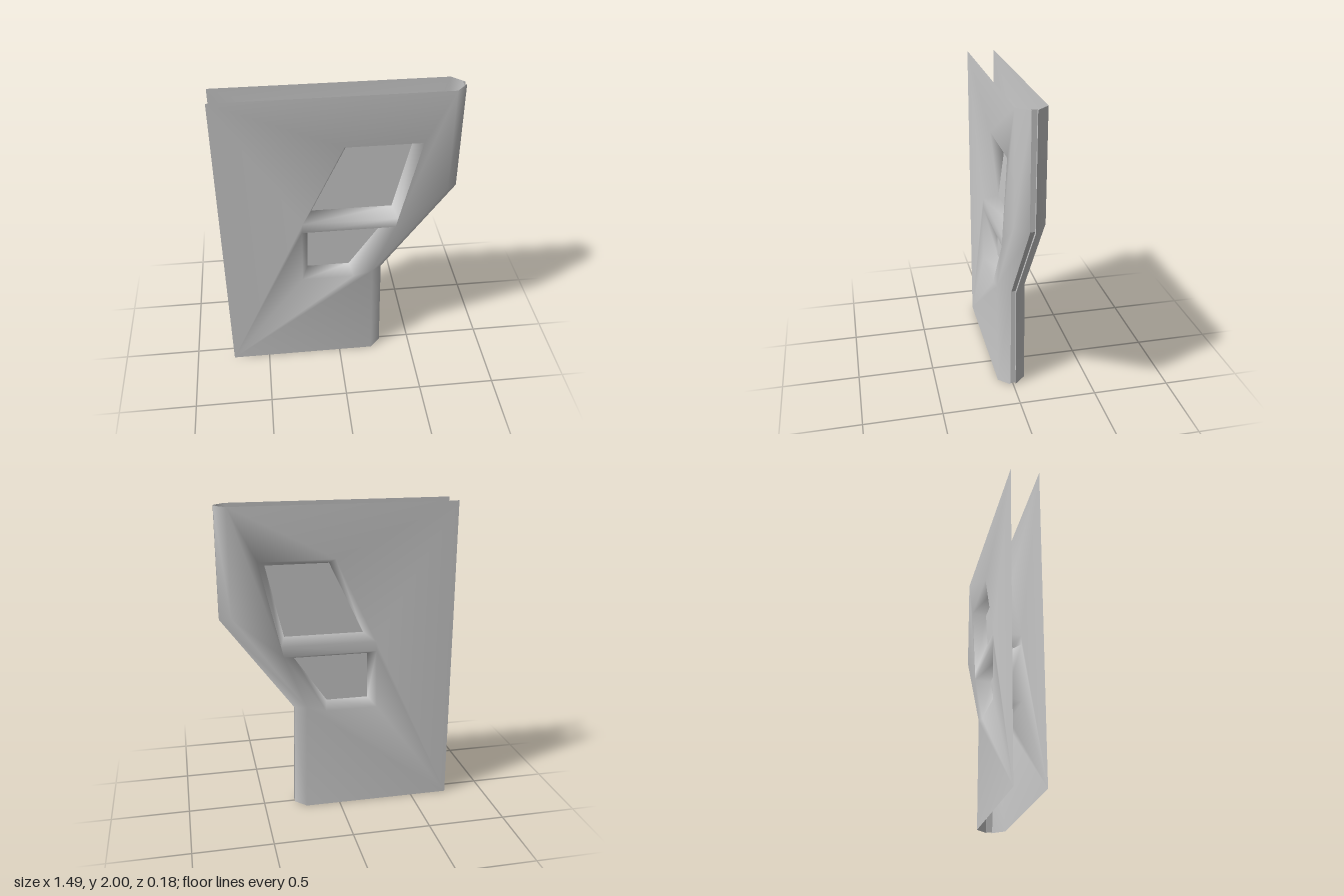
import * as THREE from 'three';

const FACE_Z = 0.09;   // outer skins
const LIP_Z = 0.017;   // half width of the edge groove
const BEVEL = 0.04;    // width of the window recess slopes

// Right-hand edge of the panel, bottom to top, and its mitred inward direction
const EDGE = [[0.295, 0], [0.285, 0.69], [0.74, 1.31], [0.74, 2]];
const MITRE = [[1, 0], [1, -0.32], [1, -0.32], [1, 0]];
const edgeInset = d => EDGE.map(([x, y], i) => [x - MITRE[i][0] * d, y - MITRE[i][1] * d]);

// Window panes, counter-clockwise
const WINDOWS = {
  upper: [[-0.17, 1.17], [0.34, 1.17], [0.45, 1.63], [0.05, 1.63]],
  lower: [[-0.205, 0.72], [0.07, 0.72], [0.28, 1.025], [-0.2, 1.025]],
};

// Grow a convex counter-clockwise polygon outwards by d
function grow(poly, d) {
  const n = poly.length;
  const normal = i => {
    const [a, b] = [poly[i % n], poly[(i + 1) % n]];
    const l = Math.hypot(b[0] - a[0], b[1] - a[1]);
    return [(b[1] - a[1]) / l, (a[0] - b[0]) / l];
  };
  return poly.map(([x, y], i) => {
    const u = normal(i + n - 1), v = normal(i);
    const k = d / (1 + u[0] * v[0] + u[1] * v[1]);
    return [x + (u[0] + v[0]) * k, y + (u[1] + v[1]) * k];
  });
}

function build(points, index) {
  const g = new THREE.BufferGeometry();
  g.setAttribute('position', new THREE.Float32BufferAttribute(points.flat(), 3));
  g.setIndex(index);
  g.computeVertexNormals();
  return g;
}

// Skin with recessed windows and a chamfered edge, smooth across every fold
function skinGeometry() {
  const at = (pts, z) => pts.map(([x, y]) => [x, y, z]);
  const outline = [[-0.745, 0], ...edgeInset(0.07), [-0.745, 2]];
  const panes = Object.values(WINDOWS);
  const holes = panes.map(p => grow(p, BEVEL));
  const v2 = pts => pts.map(p => new THREE.Vector2(...p));
  const index = THREE.ShapeUtils.triangulateShape(v2(outline), holes.map(v2)).flat();
  const points = at([...outline, ...holes.flat()], FACE_Z);

  // Window slopes
  panes.forEach((pane, w) => {
    const o = outline.length + w * 4, s = points.length;
    points.push(...at(pane, 0));
    for (let i = 0; i < 4; i++) {
      const j = (i + 1) % 4;
      index.push(o + i, o + j, s + j, o + i, s + j, s + i);
    }
  });

  // Edge chamfer
  const e = points.length;
  points.push(...at(EDGE, LIP_Z));
  for (let i = 0; i < 3; i++) {
    index.push(1 + i, e + i, e + i + 1, 1 + i, e + i + 1, 2 + i);
  }
  return build(points, index);
}

// Shallow groove running along the edge between the two skins
function grooveGeometry() {
  const inner = edgeInset(0.015);
  const rows = [[EDGE, LIP_Z], [inner, LIP_Z], [inner, -LIP_Z], [EDGE, -LIP_Z]];
  const points = rows.flatMap(([pts, z]) => pts.map(([x, y]) => [x, y, z]));
  const index = [];
  for (let r = 0; r < 3; r++) {
    for (let i = 0; i < 3; i++) {
      const a = r * 4 + i, b = a + 4;
      index.push(a, b, b + 1, a, b + 1, a + 1);
    }
  }
  const g = build(points, index).toNonIndexed();
  g.computeVertexNormals();
  return g;
}

export function createModel() {
  const group = new THREE.Group();
  group.name = 'doorPanel';
  const material = new THREE.MeshStandardMaterial({ color: 0xcccccc, side: THREE.DoubleSide });
  const add = (geometry, name) => {
    const mesh = new THREE.Mesh(geometry, material);
    mesh.name = name;
    group.add(mesh);
    return mesh;
  };

  const skin = skinGeometry();
  add(skin, 'frontSkin');
  add(skin, 'backSkin').scale.z = -1;
  add(grooveGeometry(), 'edgeGroove');

  // Flat panes at the bottom of the recesses
  for (const [name, pane] of Object.entries(WINDOWS)) {
    const shape = new THREE.Shape(pane.map(p => new THREE.Vector2(...p)));
    add(new THREE.ShapeGeometry(shape), name + 'Pane');
  }
  return group;
}
